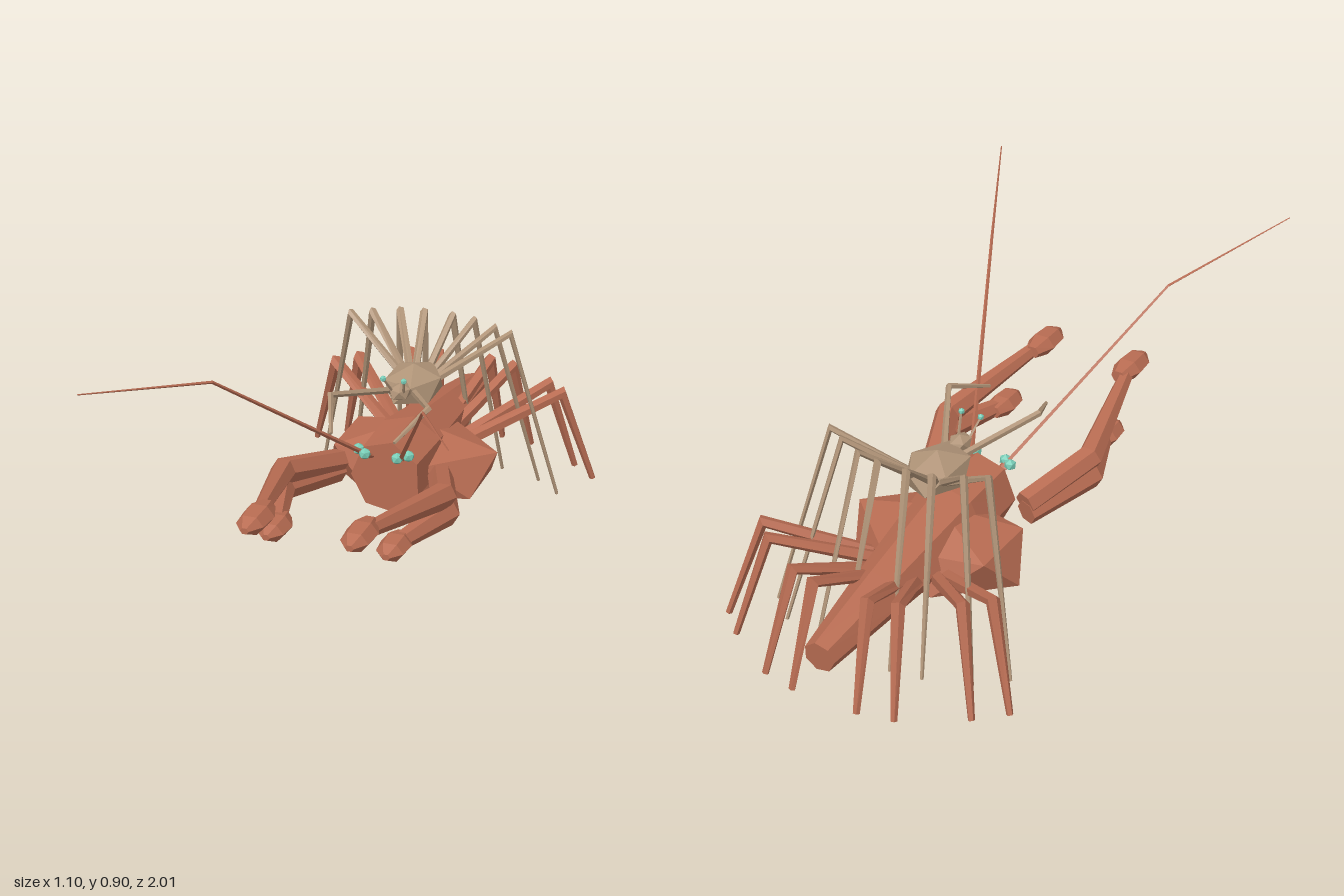
import * as THREE from 'three';
import { ConvexGeometry } from 'three/addons/geometries/ConvexGeometry.js';

const mat = (color) => new THREE.MeshStandardMaterial({ color, flatShading: true, side: THREE.DoubleSide });
const V = (p) => new THREE.Vector3(...p);

// Faceted tube through points, one radius (or [rx, ry]) per point, closed at both ends
function loft(points, radii, sides = 5, phase = 0) {
  const p = points.map(V), n = p.length, pos = [], index = [];
  const span = p[n - 1].clone().sub(p[0]).setY(0);
  const side = new THREE.Vector3(0, 1, 0).cross(span).normalize();
  p.forEach((c, i) => {
    const t = new THREE.Vector3();
    if (i > 0) t.add(c.clone().sub(p[i - 1]).normalize());
    if (i < n - 1) t.add(p[i + 1].clone().sub(c).normalize());
    t.normalize();
    const u = side.clone().addScaledVector(t, -side.dot(t)).normalize();
    const v = t.clone().cross(u);
    const [a, b = a] = [radii[i]].flat();
    for (let j = 0; j < sides; j++) {
      const w = phase + (j / sides) * Math.PI * 2;
      const q = c.clone().addScaledVector(u, a * Math.cos(w)).addScaledVector(v, b * Math.sin(w));
      pos.push(q.x, q.y, q.z);
    }
  });
  for (let i = 0; i < n - 1; i++) for (let j = 0; j < sides; j++) {
    const a = i * sides + j, b = i * sides + (j + 1) % sides;
    index.push(a, b, b + sides, a, b + sides, a + sides);
  }
  const e = (n - 1) * sides;
  for (let j = 1; j < sides - 1; j++) index.push(0, j + 1, j, e, e + j, e + j + 1);
  const g = new THREE.BufferGeometry();
  g.setAttribute('position', new THREE.Float32BufferAttribute(pos, 3));
  g.setIndex(index);
  const flat = g.toNonIndexed();
  flat.computeVertexNormals();
  return flat;
}

// Stretched icosahedron with its poles on y
function gem(rx, ry, rz) {
  const pts = [new THREE.Vector3(0, ry, 0), new THREE.Vector3(0, -ry, 0)];
  for (let k = 0; k < 5; k++) {
    const a = (k * Math.PI * 2) / 5, x = 0.894 * Math.cos(a) * rx, z = 0.894 * Math.sin(a) * rz;
    pts.push(new THREE.Vector3(x, 0.447 * ry, z), new THREE.Vector3(-x, -0.447 * ry, z));
  }
  return new ConvexGeometry(pts);
}

// Blunt claw pointing forward
const claw = (k) => loft([[0, 0, -0.09 * k], [0, 0, -0.025 * k], [0, 0, 0.05 * k], [0, 0, 0.093 * k]],
  [[0.026, 0.022], [0.05, 0.037], [0.044, 0.033], [0.014, 0.011]], 6);

export function createModel() {
  const model = new THREE.Group();
  const shell = mat(0xb86c52), tan = mat(0xb09478), teal = mat(0x78ccb6);
  const add = (name, geo, material, at = [0, 0, 0]) => {
    const m = new THREE.Mesh(geo, material);
    m.name = name;
    m.position.set(...at);
    model.add(m);
  };

  // Large body: tapered trunk and tail, with a wide faceted belly
  add('trunk', loft([[0, 0.182, -1], [0, 0.215, -0.68], [0, 0.25, -0.27], [0, 0.25, -0.055]],
    [[0.053, 0.053], [0.09, 0.085], [0.13, 0.128], [0.12, 0.128]], 7, -1.3), shell);
  add('belly', gem(0.328, 0.14, 0.228), shell, [0, 0.2, -0.33]);

  // Small rider: body and head
  add('riderBody', gem(0.105, 0.07, 0.14), tan, [0, 0.47, -0.33]);
  add('riderHead', gem(0.038, 0.03, 0.05), tan, [0, 0.495, -0.195]);

  // Large legs: knee and foot positions in x, z
  const legs = [
    [[0.41, -0.69], [0.51, -0.76]], [[0.345, -0.755], [0.425, -0.84]],
    [[0.185, -0.855], [0.23, -0.96]], [[0.095, -0.88], [0.115, -0.985]],
  ];
  // Rider legs: knee and foot positions in x, z
  const riderLegs = [
    [[0.28, -0.495], [0.425, -0.61]], [[0.215, -0.53], [0.337, -0.69]],
    [[0.13, -0.57], [0.19, -0.74]], [[0.05, -0.585], [0.085, -0.755]],
  ];

  for (const s of [1, -1]) {
    const flip = (pts) => pts.map(([x, y, z]) => [s * x, y, z]);

    for (const [k, f] of legs) {
      const root = [k[0] * 0.32, 0.21, -0.4 + (k[1] + 0.4) * 0.32];
      add('leg', loft(flip([root, [k[0], 0.345, k[1]], [f[0], 0.01, f[1]]]), [0.024, 0.023, 0.011], 5), shell);
    }
    for (const [k, f] of riderLegs) {
      const root = [k[0] * 0.15 + 0.01, 0.465, -0.36 + (k[1] + 0.36) * 0.15];
      add('riderLeg', loft(flip([root, [k[0], 0.62, k[1]], [f[0], 0.004, f[1]]]), [0.014, 0.014, 0.006], 5), tan);
    }

    // Upper and lower clawed arms
    add('upperArm', loft(flip([[0.175, 0.265, -0.09], [0.268, 0.33, 0.165], [0.175, 0.4, 0.59]]),
      [0.042, 0.043, 0.024], 6), shell);
    add('upperClaw', claw(1), shell, [s * 0.165, 0.405, 0.64]);
    add('lowerArm', loft(flip([[0.18, 0.235, -0.09], [0.275, 0.27, 0.16], [0.2, 0.265, 0.39]]),
      [0.042, 0.045, 0.028], 6), shell);
    add('lowerClaw', claw(0.85), shell, [s * 0.195, 0.265, 0.42]);

    // Antenna and paired eyes on short stalks
    add('antenna', loft(flip([[0.05, 0.32, -0.05], [0.33, 0.79, 0.56], [0.55, 0.9, 1]]),
      [0.008, 0.005, 0.002], 4), shell);
    for (const [x, y, z] of [[0.085, 0.35, -0.03], [0.055, 0.347, -0.007]]) {
      add('eyeStalk', loft(flip([[0.045, 0.31, -0.07], [x, y, z]]), [0.008, 0.006], 4), shell);
      add('eye', gem(0.021, 0.02, 0.021), teal, [s * x, y, z]);
    }

    // Rider arms and eyes
    add('riderArm', loft(flip([[0.03, 0.48, -0.24], [0.165, 0.545, 0.01], [0.105, 0.485, 0.165]]),
      [0.012, 0.011, 0.006], 5), tan);
    add('riderEyeStalk', loft(flip([[0.018, 0.5, -0.175], [0.035, 0.56, -0.13]]), [0.005, 0.004], 4), tan);
    add('riderEye', gem(0.011, 0.011, 0.011), teal, [s * 0.035, 0.563, -0.127]);
  }
  return model;
}
